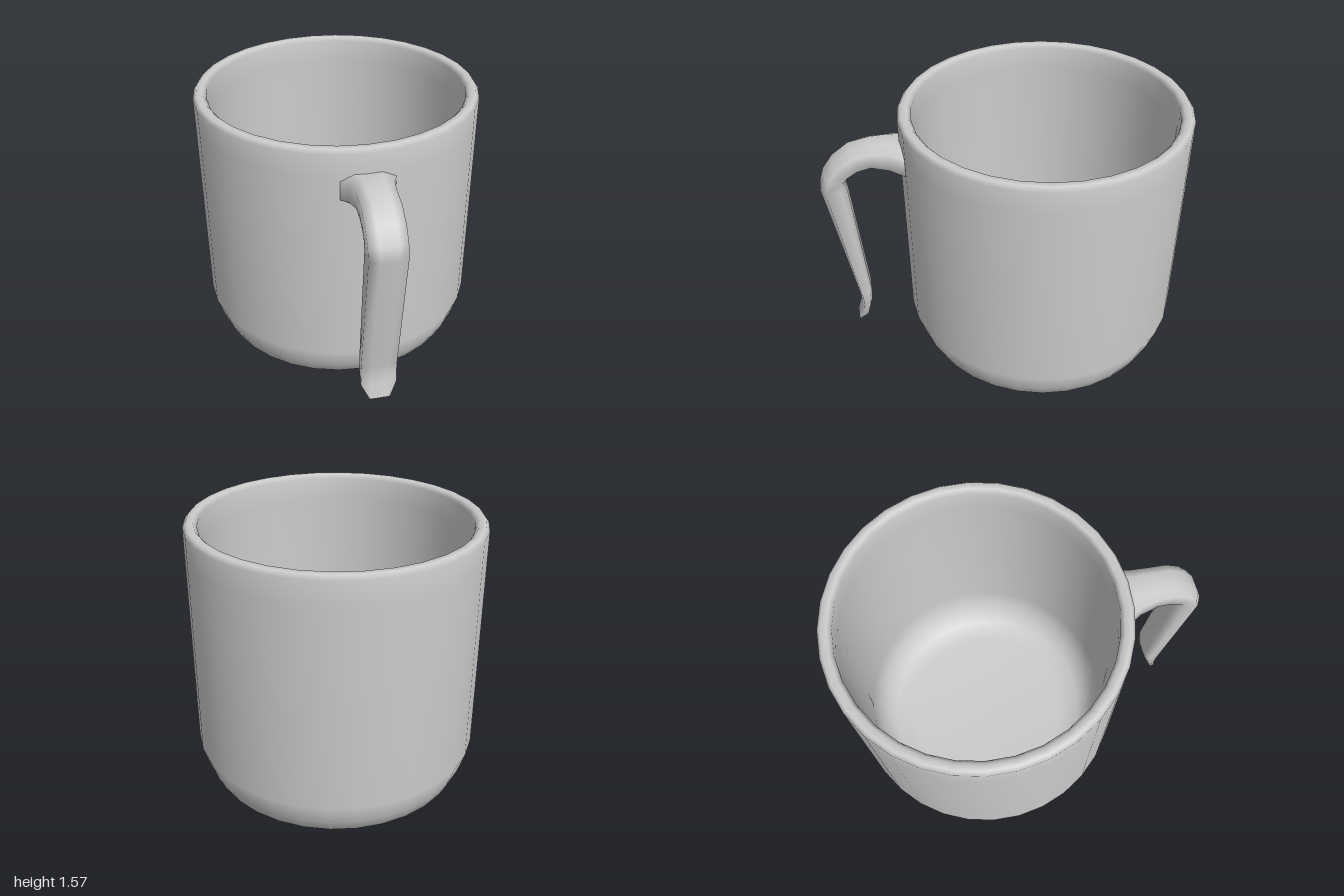
import * as THREE from 'three';

const material = new THREE.MeshStandardMaterial({ color: 0xcccccc });

// Lathed cup: outside wall, rounded rim, inside wall (a repeated point keeps an edge sharp)
function makeCup() {
  const profile = [
    [0, 0], [0.52, 0], [0.52, 0], [0.65, 0.052], [0.71, 0.107], [0.745, 0.18], [0.783, 0.3],
    [0.783, 1.42], [0.783, 1.545], [0.765, 1.567], [0.73, 1.567], [0.71, 1.545],
    [0.71, 1.42], [0.71, 0.33], [0.675, 0.22], [0.64, 0.16], [0.59, 0.115], [0.48, 0.075], [0, 0.07],
  ].map(([r, y]) => new THREE.Vector2(r, y));
  const cup = new THREE.Mesh(new THREE.LatheGeometry(profile, 32), material);
  cup.name = 'cup';
  cup.position.z = -0.217;
  return cup;
}

// Handle lofted through chamfered rectangular sections
function makeHandle() {
  // outer z, outer y, inner z, inner y, half width
  const stations = [
    [0.50, 1.43, 0.50, 1.25, 0.15],
    [0.565, 1.435, 0.565, 1.268, 0.138],
    [0.63, 1.447, 0.63, 1.295, 0.112],
    [0.72, 1.447, 0.725, 1.32, 0.098],
    [0.83, 1.425, 0.79, 1.305, 0.097],
    [0.92, 1.36, 0.835, 1.28, 0.097],
    [0.975, 1.285, 0.857, 1.26, 0.097],
    [1.0, 1.21, 0.863, 1.22, 0.097],
    [0.872, 0.47, 0.80, 0.48, 0.096],
    [0.865, 0.41, 0.805, 0.41, 0.096],
    [0.872, 0.34, 0.828, 0.33, 0.094],
    [0.895, 0.265, 0.888, 0.26, 0.055],
  ];
  // across the width, and from outer to inner side
  const section = [[-0.5, 0], [0.5, 0], [1, 0.2], [1, 0.8], [0.5, 1], [-0.5, 1], [-1, 0.8], [-1, 0.2]];
  const n = section.length;
  const positions = [];
  const indices = [];
  for (const [zo, yo, zi, yi, w] of stations) {
    for (const [u, v] of section) positions.push(u * w, yo + (yi - yo) * v, zo + (zi - zo) * v);
  }
  for (let i = 0; i < stations.length - 1; i++) {
    for (let k = 0; k < n; k++) {
      const a = i * n + k, b = i * n + (k + 1) % n;
      indices.push(a, a + n, b, b, a + n, b + n);
    }
  }
  // Tip cap
  const last = (stations.length - 1) * n;
  for (let k = 1; k < n - 1; k++) indices.push(last, last + k + 1, last + k);

  const geometry = new THREE.BufferGeometry();
  geometry.setAttribute('position', new THREE.Float32BufferAttribute(positions, 3));
  geometry.setIndex(indices);
  geometry.computeVertexNormals();
  const handle = new THREE.Mesh(geometry, material);
  handle.name = 'handle';
  return handle;
}

export function createModel() {
  const mug = new THREE.Group();
  mug.name = 'mug';
  mug.add(makeCup(), makeHandle());
  return mug;
}
